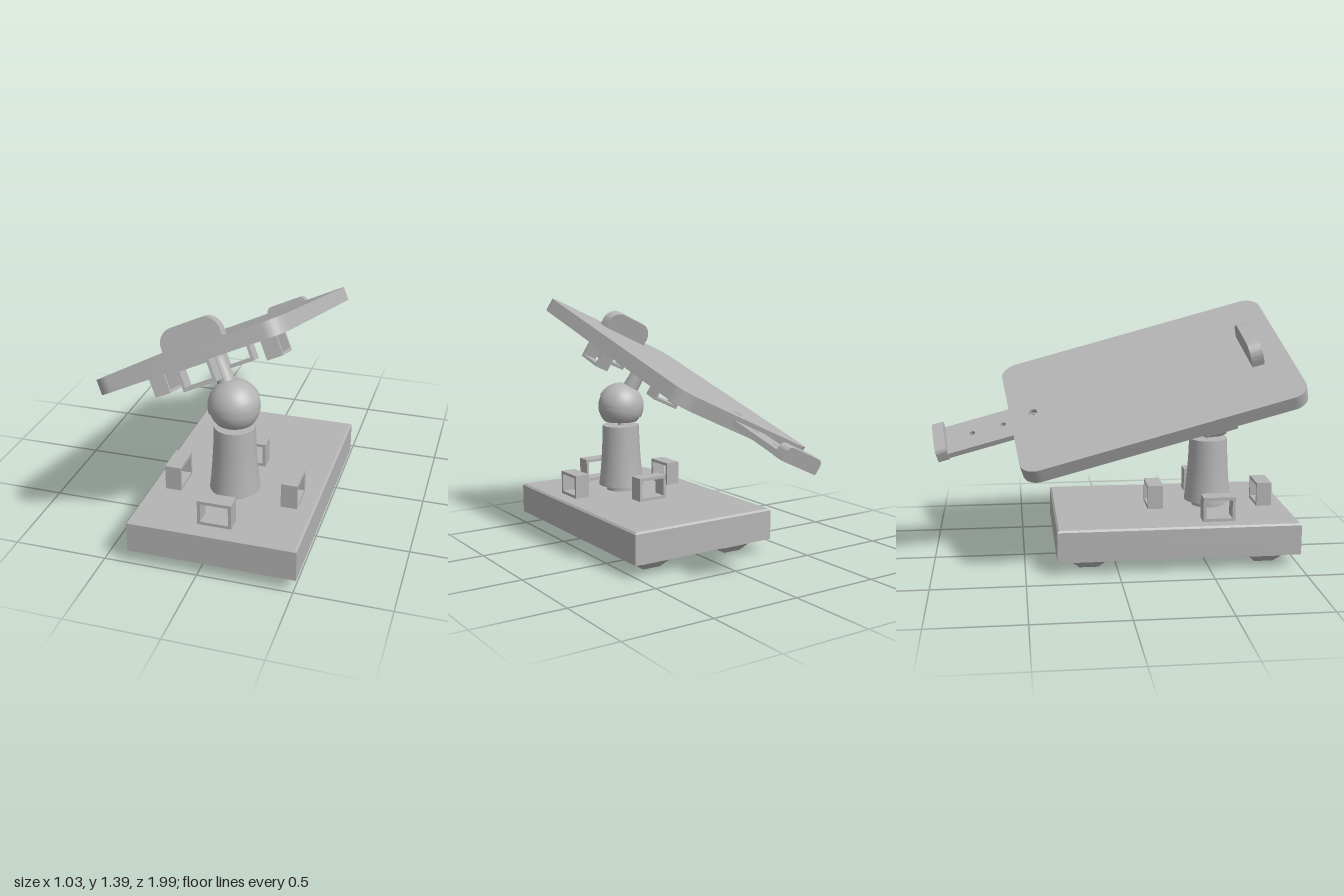
import * as THREE from 'three';
import { toCreasedNormals } from 'three/addons/utils/BufferGeometryUtils.js';

const POST_X = 0.07, POST_Z = 0.56;      // post axis
const BASE_X = 0.072, BASE_Z = 0.335;    // base centre

// Rectangle with separate radii for its lower and upper corners
function rect(w, h, rLow = 0, rTop = rLow, PathType = THREE.Shape) {
  const p = new PathType(), a = w / 2, b = h / 2;
  p.moveTo(-a + rLow, -b).lineTo(a - rLow, -b);
  if (rLow) p.absarc(a - rLow, -b + rLow, rLow, -Math.PI / 2, 0);
  p.lineTo(a, b - rTop);
  if (rTop) p.absarc(a - rTop, b - rTop, rTop, 0, Math.PI / 2);
  p.lineTo(-a + rTop, b);
  if (rTop) p.absarc(-a + rTop, b - rTop, rTop, Math.PI / 2, Math.PI);
  p.lineTo(-a, -b + rLow);
  if (rLow) p.absarc(-a + rLow, -b + rLow, rLow, Math.PI, Math.PI * 1.5);
  return p;
}

function circle(x, y, r) {
  return new THREE.Path().absarc(x, y, r, 0, Math.PI * 2, true);
}

// Extrusion centred on z
function extrude(shape, depth) {
  const g = new THREE.ExtrudeGeometry(shape, { depth, bevelEnabled: false, curveSegments: 12 });
  g.translate(0, 0, -depth / 2);
  return toCreasedNormals(g, 0.5);
}

// Lathe with sharp edges kept at profile corners
function lathe(points) {
  const g = new THREE.LatheGeometry(points.map(([r, y]) => new THREE.Vector2(r, y)), 48);
  return toCreasedNormals(g, 0.5);
}

export function createModel() {
  const model = new THREE.Group();
  model.name = 'tiltingStand';
  const grey = new THREE.MeshStandardMaterial({ color: 0xb4b4b4 });
  grey.name = 'grey';

  function add(parent, name, geometry, x = 0, y = 0, z = 0) {
    const mesh = new THREE.Mesh(geometry, grey);
    mesh.name = name;
    mesh.position.set(x, y, z);
    parent.add(mesh);
    return mesh;
  }

  // Four rectangular loops standing in a cross round the origin
  function loops(height) {
    const group = new THREE.Group();
    group.name = 'strapLoops';
    const frame = rect(0.177, height);
    frame.holes.push(rect(0.145, height - 0.033, 0, 0, THREE.Path));
    const g = extrude(frame, 0.086);
    for (let i = 0; i < 4; i++) {
      const a = i * Math.PI / 2;
      add(group, 'strapLoop', g, 0.314 * Math.sin(a), height / 2, 0.314 * Math.cos(a)).rotation.y = a;
    }
    return group;
  }

  // Hollow base: walls and a chamfered lid with a hole under the post
  const W = 0.885, D = 1.33;
  const wallShape = rect(W, D);
  wallShape.holes.push(rect(W - 0.06, D - 0.06, 0, 0, THREE.Path));
  const walls = extrude(wallShape, 0.165).rotateX(-Math.PI / 2);
  add(model, 'baseWalls', walls, BASE_X, 0.1575, BASE_Z);

  const lidShape = rect(W, D);
  lidShape.holes.push(circle(POST_X - BASE_X, BASE_Z - POST_Z, 0.083));
  const lid = new THREE.ExtrudeGeometry(lidShape, {
    depth: 0.01, bevelThickness: 0.01, bevelSize: 0.01, bevelOffset: -0.01,
    bevelSegments: 1, curveSegments: 20,
  }).rotateX(-Math.PI / 2);
  add(model, 'baseLid', lid, BASE_X, 0.23, BASE_Z);

  // Square feet with tapered ends
  const taper = new THREE.CylinderGeometry(0.089 * Math.SQRT2, 0.052 * Math.SQRT2, 0.04, 4)
    .toNonIndexed().rotateY(Math.PI / 4);
  taper.computeVertexNormals();
  for (const sx of [-1, 1]) {
    for (const sz of [-1, 1]) {
      const x = BASE_X + sx * 0.267, z = BASE_Z + sz * 0.488;
      add(model, 'footBlock', new THREE.BoxGeometry(0.178, 0.185, 0.178), x, 0.1325, z);
      add(model, 'footTaper', taper, x, 0.02, z);
    }
  }

  const lowerLoops = loops(0.135);
  lowerLoops.position.set(POST_X, 0.25, POST_Z);
  model.add(lowerLoops);

  // Flared post on a short neck, with a thin rod up to the ball
  add(model, 'post', lathe([
    [0, 0.245], [0.088, 0.245], [0.088, 0.28], [0.133, 0.28], [0.126, 0.34],
    [0.118, 0.43], [0.112, 0.53], [0.108, 0.64], [0, 0.64],
  ]), POST_X, 0, POST_Z);
  add(model, 'rod', new THREE.CylinderGeometry(0.017, 0.017, 0.1, 24), POST_X, 0.66, POST_Z);

  // Ball with a flat underside
  const ball = new THREE.Vector3(POST_X, 0.755, POST_Z);
  const profile = [[0, -0.09]];
  for (let i = 0; i <= 20; i++) {
    const a = -0.745 + (0.745 + Math.PI / 2) * i / 20;
    profile.push([0.1325 * Math.cos(a), 0.1325 * Math.sin(a)]);
  }
  add(model, 'ball', lathe(profile), ball.x, ball.y, ball.z);

  // Tilted tray frame: x across, y up through the tray, z towards its front
  const along = new THREE.Vector3(-0.012, 0.27, 1).normalize();
  const across = new THREE.Vector3(1, 0.453, -0.11);
  across.addScaledVector(along, -across.dot(along)).normalize();
  const up = new THREE.Vector3().crossVectors(along, across);
  const tray = new THREE.Group();
  tray.name = 'tray';
  const centre = new THREE.Vector3(-0.045, 0.967, 0.192);
  const frame = new THREE.Matrix4().makeBasis(across, up, along).setPosition(centre);
  tray.quaternion.setFromRotationMatrix(frame);
  tray.position.copy(centre);
  model.add(tray);
  const pivot = ball.clone().applyMatrix4(frame.clone().invert());

  // Rounded tray board with a screw hole
  const T = 0.078;
  const boardShape = rect(0.99, 1.545, 0.095);
  boardShape.holes.push(circle(0, 0.645, 0.025));
  add(tray, 'board', extrude(boardShape, T).rotateX(-Math.PI / 2));

  // Sliding bar with screw holes, ending in a raised lip
  const barShape = rect(0.242, 0.69);
  for (const y of [-0.2, -0.025, 0.15]) barShape.holes.push(circle(0, y, 0.016));
  add(tray, 'slidingBar', extrude(barShape, 0.03).rotateX(-Math.PI / 2), 0, 0, -0.845);
  add(tray, 'barLip', extrude(rect(0.262, 0.08, 0, 0.035), 0.062), 0, 0.025, -1.17);

  // Upright stop near the front edge
  add(tray, 'frontStop', extrude(rect(0.315, 0.13, 0, 0.08), 0.068), 0.005, T / 2 + 0.05, 0.595);

  const upperLoops = loops(0.117);
  upperLoops.position.set(pivot.x, -T / 2, pivot.z);
  upperLoops.rotation.z = Math.PI;
  tray.add(upperLoops);

  // Socket cap over the ball, and the stem carrying the tray
  const cap = [[0, 0], [0.138, 0]];
  for (let i = 1; i <= 16; i++) {
    const a = Math.PI / 2 * i / 16;
    cap.push([0.138 * Math.cos(a), 0.138 * Math.sin(a)]);
  }
  add(tray, 'socketCap', lathe(cap), pivot.x, pivot.y, pivot.z);
  const reach = -T / 2 - pivot.y;
  add(tray, 'stem', lathe([
    [0.048, 0.1], [0.04, reach - 0.03], [0.032, reach - 0.02], [0.03, reach + 0.01], [0, reach + 0.01],
  ]), pivot.x, pivot.y, pivot.z);

  return model;
}
